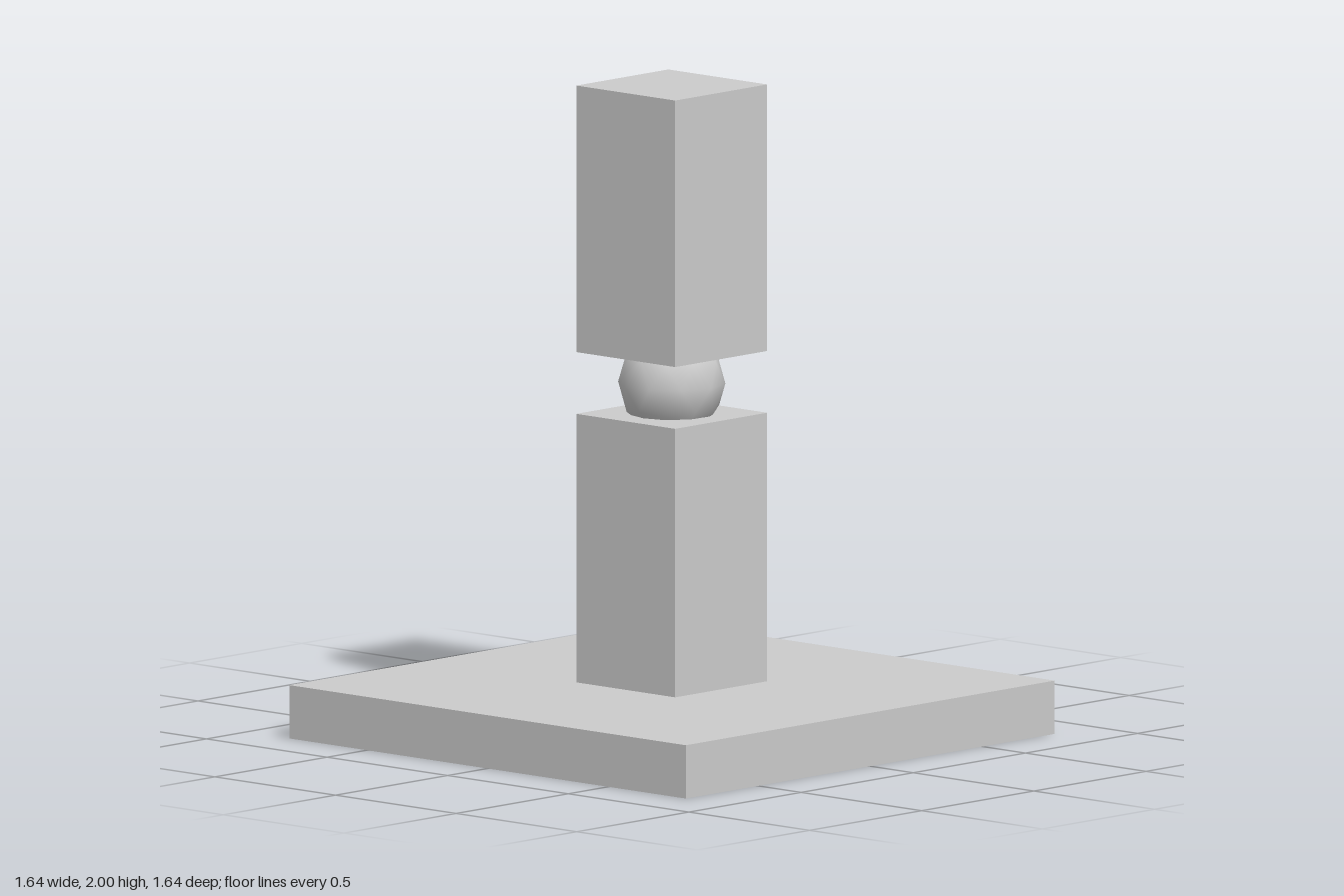
import * as THREE from 'three';

const material = new THREE.MeshStandardMaterial({ color: 0xcccccc });

export function createModel() {
  const model = new THREE.Group();

  function add(name, geometry, x, y, z) {
    const mesh = new THREE.Mesh(geometry, material);
    mesh.name = name;
    mesh.position.set(x, y, z);
    model.add(mesh);
  }

  // Box given by its width (square in plan) and its bottom and top heights
  function block(name, width, bottom, top, x, z) {
    add(name, new THREE.BoxGeometry(width, top - bottom, width), x, (bottom + top) / 2, z);
  }

  // The column sits slightly off the centre of the base
  const cx = 0.014, cz = -0.014;
  block('base', 1.644, 0, 0.164, 0, 0);
  block('lowerPost', 0.41, 0.164, 0.99, cx, cz);
  block('upperPost', 0.41, 1.18, 2, cx, cz);

  // Low-poly ball joint, turned so a corner of the icosahedron points up
  const ball = new THREE.IcosahedronGeometry(0.164, 1);
  ball.rotateX(-Math.atan((1 + Math.sqrt(5)) / 2));
  ball.rotateY(Math.PI / 2);
  add('ballJoint', ball, cx, 1.085, cz);

  return model;
}
